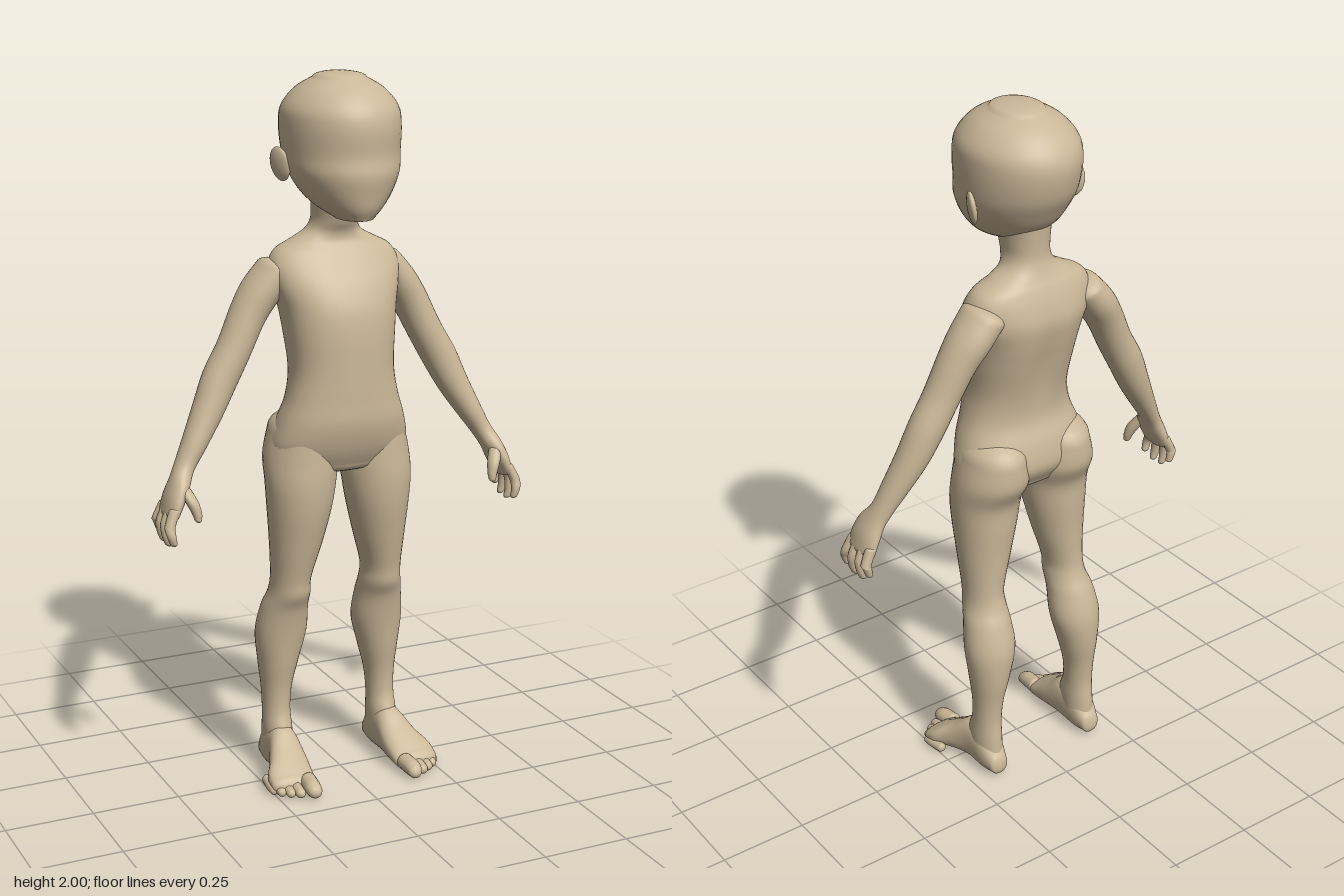
import * as THREE from 'three';

const clay = new THREE.MeshStandardMaterial({ color: 0xcbb899 });
clay.name = 'clay';

// Smooth interpolation between section rows
function sample(rows, t) {
  const n = rows.length - 1, i = Math.min(Math.floor(t), n - 1), f = t - i;
  const [a, b, c, d] = [i - 1, i, i + 1, i + 2].map(k => rows[Math.max(0, Math.min(n, k))]);
  return b.map((_, k) => 0.5 * (2 * b[k] + (c[k] - a[k]) * f +
    (2 * a[k] - 5 * b[k] + 4 * c[k] - d[k]) * f * f +
    (3 * b[k] - a[k] - 3 * c[k] + d[k]) * f * f * f));
}

// Rows of [cx, cy, cz, ru, rv] lofted into a closed skin with rounded ends
function loft(name, rows, { u = [1, 0, 0], v = [0, 0, 1], side = 1, caps = [0.02, 0.02],
  power = 2, seg = 32, steps = 5, deform = null } = {}) {
  const U = new THREE.Vector3(u[0] * side, u[1], u[2]).normalize();
  const W = new THREE.Vector3(...v).normalize();
  const rings = [];
  for (let i = 0; i <= (rows.length - 1) * steps; i++) rings.push(sample(rows, i / steps));
  const round = (end, near, length) => {
    const d = new THREE.Vector3(end[0] - near[0], end[1] - near[1], end[2] - near[2]).normalize();
    return [1, 2, 3, 4, 5, 6].map(k => {
      const a = k / 6 * Math.PI / 2, h = Math.sin(a) * length, r = Math.max(Math.cos(a), 0.001);
      return [end[0] + d.x * h, end[1] + d.y * h, end[2] + d.z * h, end[3] * r, end[4] * r];
    });
  };
  const last = rings.length - 1;
  const all = [...round(rings[0], rings[1], caps[0]).reverse(), ...rings,
    ...round(rings[last], rings[last - 1], caps[1])];
  const pos = [], index = [], p = new THREE.Vector3();
  const curve = c => Math.sign(c) * Math.pow(Math.abs(c), 2 / power);
  for (const [x, y, z, ru, rv] of all) {
    for (let j = 0; j < seg; j++) {
      const a = j / seg * Math.PI * 2;
      p.set(x * side, y, z).addScaledVector(U, ru * curve(Math.cos(a))).addScaledVector(W, rv * curve(Math.sin(a)));
      if (deform) deform(p);
      pos.push(p.x, p.y, p.z);
    }
  }
  const A = all[0], B = all[all.length - 1];
  const along = new THREE.Vector3((B[0] - A[0]) * side, B[1] - A[1], B[2] - A[2]);
  const forward = new THREE.Vector3().crossVectors(U, W).dot(along) > 0;
  for (let i = 0; i < all.length - 1; i++) {
    for (let j = 0; j < seg; j++) {
      const a = i * seg + j, b = i * seg + (j + 1) % seg, c = a + seg, d = b + seg;
      if (forward) index.push(a, b, d, a, d, c);
      else index.push(a, d, b, a, c, d);
    }
  }
  const g = new THREE.BufferGeometry();
  g.setAttribute('position', new THREE.Float32BufferAttribute(pos, 3));
  g.setIndex(index);
  g.computeVertexNormals();
  const mesh = new THREE.Mesh(g, clay);
  mesh.name = name;
  return mesh;
}

// Upright sections from [y, x0, x1, z0, z1]; lengthwise ones from [z, x0, x1, y0, y1]
const upright = rows => rows.map(([y, a, b, c, d]) => [(a + b) / 2, y, (c + d) / 2, (b - a) / 2, (d - c) / 2]);
const lengthwise = rows => rows.map(([z, a, b, c, d]) => [(a + b) / 2, (c + d) / 2, z, (b - a) / 2, (d - c) / 2]);
const centred = rows => upright(rows.map(([y, w, c, d]) => [y, -w, w, c, d]));

function makeArm(side) {
  const arm = new THREE.Group();
  arm.name = side > 0 ? 'leftArm' : 'rightArm';
  arm.add(loft('armAndPalm', [
    [0.16, 1.465, -0.07, 0.052, 0.072], [0.205, 1.41, -0.072, 0.054, 0.068],
    [0.245, 1.35, -0.068, 0.051, 0.058], [0.29, 1.26, -0.06, 0.049, 0.052],
    [0.335, 1.18, -0.055, 0.05, 0.05], [0.375, 1.1, -0.045, 0.044, 0.047],
    [0.42, 1.02, -0.03, 0.035, 0.041], [0.455, 0.96, -0.018, 0.028, 0.036],
    [0.477, 0.92, 0, 0.027, 0.047], [0.496, 0.88, 0.005, 0.026, 0.056],
    [0.51, 0.845, 0.006, 0.021, 0.058]], { u: [0.87, 0.5, 0], side, caps: [0.03, 0.02] }));
  // Fingers from front to back: base z, tip z, tip height
  [[0.048, 0.066, 0.775], [0.02, 0.027, 0.765], [-0.01, -0.012, 0.768], [-0.037, -0.045, 0.79]]
    .forEach(([z0, z1, y]) => arm.add(loft('finger', [
      [0.508, 0.86, z0, 0.016, 0.016], [0.527, 0.82, (z0 + z1) / 2, 0.015, 0.015],
      [0.527, y + 0.02, z1, 0.013, 0.013], [0.522, y, z1, 0.011, 0.011]],
    { side, caps: [0.01, 0.011], seg: 14, steps: 4 })));
  arm.add(loft('thumb', [
    [0.478, 0.915, 0.028, 0.018, 0.018], [0.462, 0.88, 0.05, 0.018, 0.02],
    [0.452, 0.85, 0.061, 0.014, 0.015], [0.45, 0.835, 0.065, 0.011, 0.012]],
  { side, caps: [0.01, 0.012], seg: 14, steps: 4 }));
  return arm;
}

function makeLeg(side) {
  const leg = new THREE.Group();
  leg.name = side > 0 ? 'leftLeg' : 'rightLeg';
  leg.add(loft('thighAndShin', upright([
    [1.02, 0.02, 0.195, -0.146, 0.085], [0.95, 0.006, 0.212, -0.146, 0.088],
    [0.88, 0.016, 0.215, -0.114, 0.09], [0.8, 0.03, 0.21, -0.107, 0.083],
    [0.7, 0.055, 0.202, -0.1, 0.063], [0.6, 0.083, 0.196, -0.098, 0.04],
    [0.55, 0.083, 0.2, -0.108, 0.033], [0.5, 0.08, 0.214, -0.13, 0.011],
    [0.42, 0.077, 0.225, -0.15, -0.006], [0.33, 0.1, 0.216, -0.148, -0.02],
    [0.25, 0.12, 0.207, -0.136, -0.033], [0.18, 0.126, 0.205, -0.13, -0.033],
    [0.12, 0.125, 0.207, -0.135, -0.015], [0.05, 0.128, 0.205, -0.14, -0.03]]),
  { side, caps: [0.06, 0.02] }));
  leg.add(loft('foot', lengthwise([
    [-0.14, 0.138, 0.197, 0.012, 0.075], [-0.1, 0.128, 0.208, 0.005, 0.125],
    [-0.03, 0.125, 0.213, 0.007, 0.145], [0.03, 0.122, 0.235, 0.007, 0.105],
    [0.07, 0.124, 0.256, 0.003, 0.078], [0.105, 0.128, 0.258, 0.003, 0.054]]),
  { v: [0, 1, 0], side, caps: [0.018, 0.025], power: 2.3 }));
  // Toes from inner to outer: x, tip z, radius
  [[0.157, 0.19, 0.024], [0.192, 0.166, 0.016], [0.215, 0.152, 0.015], [0.236, 0.135, 0.015], [0.251, 0.114, 0.014]]
    .forEach(([x, z, r]) => leg.add(loft('toe', [
      [x - 0.004, r + 0.008, z - 0.075, r, r], [x, r + 0.004, z - 0.035, r, r],
      [x, r + 0.001, z - r * 0.8, r * 0.9, r * 0.85]],
    { v: [0, 1, 0], side, caps: [0.01, r * 0.8], seg: 14, steps: 4 })));
  return leg;
}

function makeEar(side) {
  const ear = new THREE.Mesh(new THREE.SphereGeometry(1, 24, 16), clay);
  ear.name = side > 0 ? 'leftEar' : 'rightEar';
  ear.scale.set(0.012, 0.047, 0.034);
  ear.position.set(0.162 * side, 1.758, -0.03);
  ear.rotation.set(-0.15, -0.4 * side, -0.2 * side);
  return ear;
}

export function createModel() {
  const model = new THREE.Group();
  model.name = 'mannequin';

  model.add(loft('head', centred([
    [1.622, 0.05, 0.02, 0.155], [1.65, 0.087, -0.06, 0.17], [1.69, 0.122, -0.115, 0.18],
    [1.74, 0.147, -0.15, 0.188], [1.79, 0.156, -0.176, 0.182], [1.86, 0.16, -0.19, 0.185],
    [1.91, 0.153, -0.178, 0.172], [1.955, 0.117, -0.138, 0.133], [1.984, 0.07, -0.085, 0.08]]),
  { caps: [0.01, 0.016], seg: 40 }));

  // Neck and torso, with a shallow hollow along the spine
  model.add(loft('torso', centred([
    [1.7, 0.066, -0.112, 0.045], [1.64, 0.062, -0.107, 0.04], [1.6, 0.062, -0.107, 0.028],
    [1.57, 0.078, -0.114, 0.014], [1.545, 0.122, -0.124, 0.014], [1.52, 0.168, -0.136, 0.03],
    [1.48, 0.188, -0.15, 0.056], [1.43, 0.183, -0.16, 0.086], [1.37, 0.166, -0.153, 0.11],
    [1.3, 0.156, -0.136, 0.12], [1.2, 0.148, -0.111, 0.122], [1.12, 0.161, -0.104, 0.122],
    [1.05, 0.185, -0.125, 0.12], [0.98, 0.2, -0.132, 0.1], [0.93, 0.17, -0.105, 0.075]]),
  { caps: [0.02, 0.03], power: 2.25, seg: 48, deform: p => {
    if (p.z < -0.04) p.z += 0.014 * Math.exp(-((p.x / 0.035) ** 2) - (((p.y - 1.3) / 0.13) ** 2));
  } }));

  for (const side of [1, -1]) model.add(makeEar(side), makeArm(side), makeLeg(side));
  return model;
}
